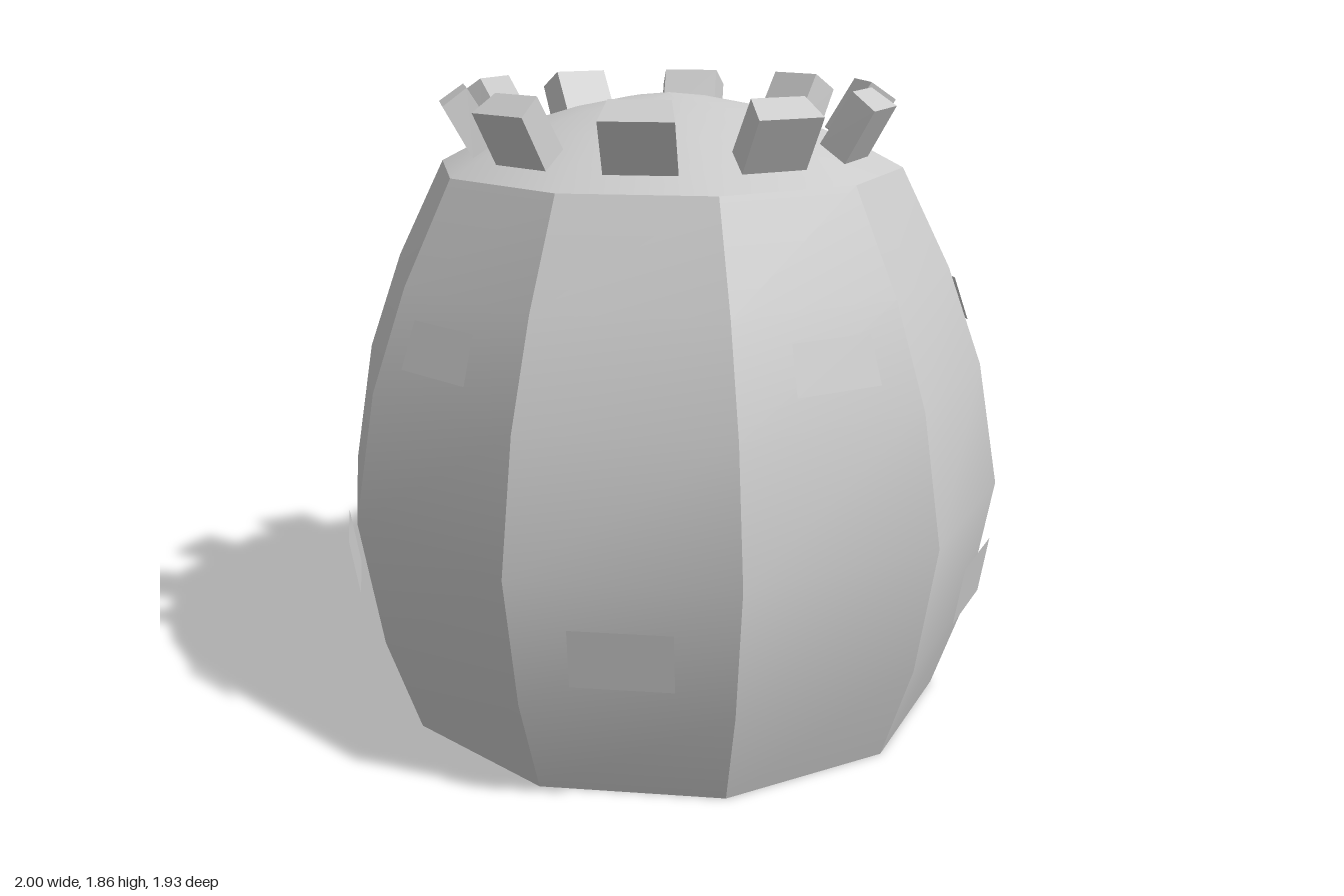
import * as THREE from 'three';

const SIDES = 10;
const STEP = (Math.PI * 2) / SIDES;
const APOTHEM = Math.cos(STEP / 2);
const TAN = Math.tan(STEP / 2);

// Outward-facing strip on the +z side; rows are [distance, y, halfWidth], top to bottom
function strip(rows) {
  const geo = new THREE.PlaneGeometry(2, 2, 1, rows.length - 1);
  const pos = geo.attributes.position;
  for (let i = 0; i < pos.count; i++) {
    const [d, y, w] = rows[Math.floor(i / 2)];
    pos.setXYZ(i, pos.getX(i) * w, y, d);
  }
  geo.computeVertexNormals();
  return geo;
}

// Block leaning outward, narrower on its inner side
function leaningBlock() {
  const geo = new THREE.BoxGeometry(2, 2, 2);
  const pos = geo.attributes.position;
  for (let i = 0; i < pos.count; i++) {
    const top = pos.getY(i) > 0;
    const outer = pos.getZ(i) > 0;
    const d = outer ? (top ? 0.66 : 0.58) : (top ? 0.59 : 0.5);
    const y = outer ? (top ? 1.805 : 1.66) : (top ? 1.855 : 1.71);
    pos.setXYZ(i, pos.getX(i) * (outer ? 0.1 : 0.083), y, d);
  }
  const flat = geo.toNonIndexed();
  flat.computeVertexNormals();
  return flat;
}

export function createModel() {
  const model = new THREE.Group();
  model.name = 'barrelTower';
  const thin = new THREE.MeshStandardMaterial({ color: 0xcccccc, side: THREE.DoubleSide });
  const solid = new THREE.MeshStandardMaterial({ color: 0xcccccc, flatShading: true });

  const add = (name, geo, mat, angle = 0) => {
    const mesh = new THREE.Mesh(geo, mat);
    mesh.name = name;
    mesh.rotation.y = angle;
    model.add(mesh);
  };

  // Bulging wall: corner radius and height, top to bottom, open below
  const wall = [[0.685, 1.62], [0.83, 1.33], [0.935, 1.04], [1, 0.67], [0.935, 0.29], [0.835, 0]];
  const wallGeo = strip(wall.map(([r, y]) => [r * APOTHEM, y, r * APOTHEM * TAN]));
  const blockGeo = leaningBlock();

  // Plates floating just off the wall
  const lowerPlate = strip([[0.982, 0.555, 0.138], [0.955, 0.385, 0.138]]);
  const upperPlate = strip([[0.863, 1.27, 0.12], [0.907, 1.14, 0.13]]);

  for (let i = 0; i < SIDES; i++) {
    add('wallPanel', wallGeo, thin, i * STEP);
    add('rimBlock', blockGeo, solid, i * STEP);
    if (i % 2) add('upperPlate', upperPlate, thin, i * STEP);
    else add('lowerPlate', lowerPlate, thin, i * STEP);
  }

  // Shallow domed roof, corners aligned with the wall
  const dome = [[0.685, 1.62], [0.57, 1.68], [0.42, 1.74], [0.27, 1.785], [0.12, 1.815], [0, 1.828]]
    .map(([r, y]) => new THREE.Vector2(r, y));
  add('domeRoof', new THREE.LatheGeometry(dome, SIDES, Math.PI / 2), thin);

  // Centre front to back, allowing for the front plate
  model.children.forEach((m) => { m.position.z = -0.015; });
  return model;
}
